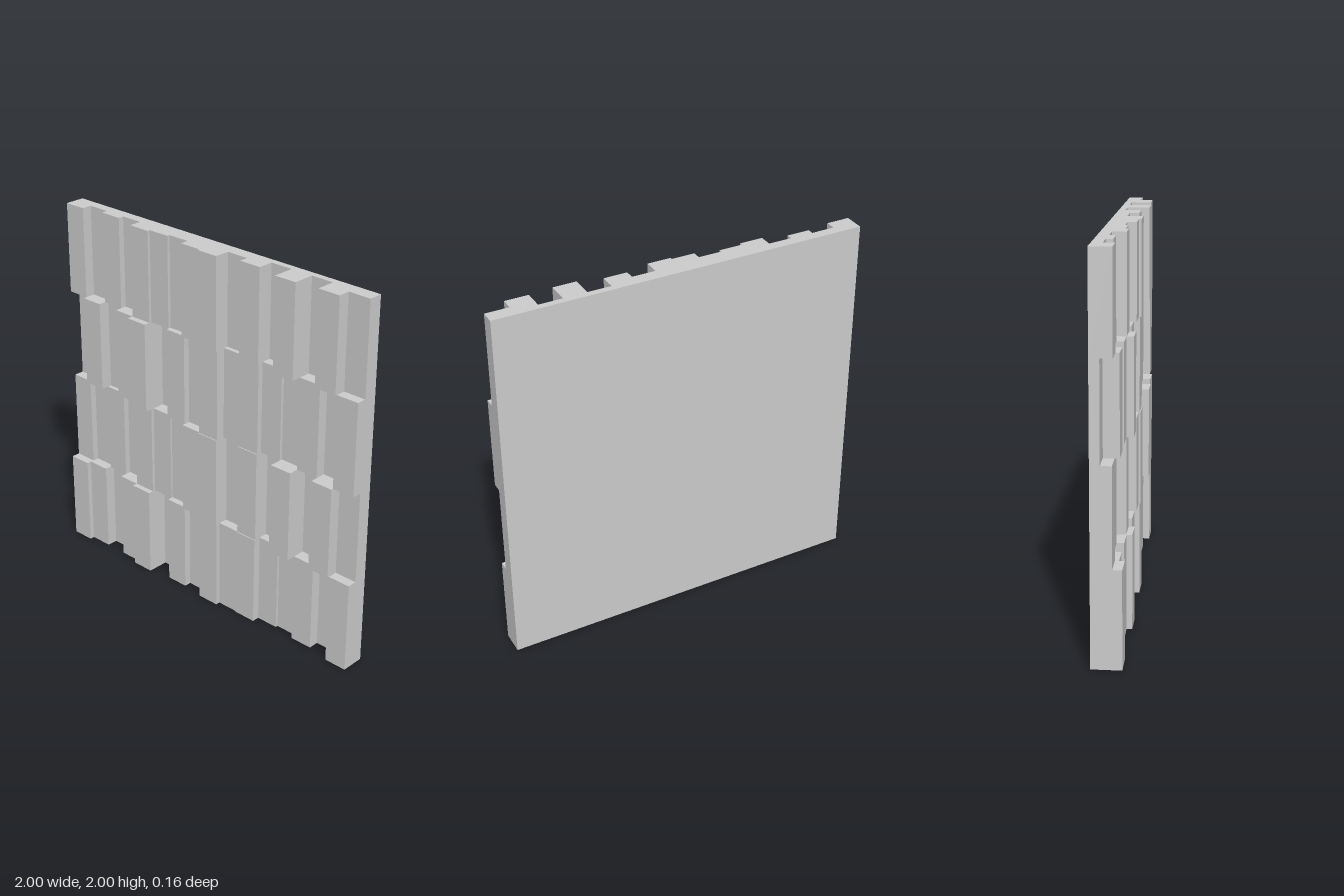
import * as THREE from 'three';

const BACK = -0.08;   // plane of the flat rear face
const COLS = 16;
const WIDTH = 2 / COLS;
const HEIGHT = 0.5;

// Front face z of every plank (in hundredths), left to right, top course first
const COURSES = [
  [3, -2.6, 0.8, -2.4, 4.6, 3, 1.4, 6, 7.3, -1, 4, -4.5, 7.3, -4.5, 6, -0.5],
  [-3, 4.9, -1.5, 4.5, 8, -4.5, 4.5, 1, 6.5, 1.4, 3.5, 0.6, -1, 2, -3.5, 4.8],
  [2.5, -1, 0.8, -2.4, 4.3, 2.5, 1.4, 6, 7, -1, 4, -4.5, 7.3, -4.5, 6, -0.5],
  [7.2, 4.5, -1.5, 4.5, 7.3, -4.5, 4.9, 1, 6.5, 4, 4.5, 0.4, -1, 2.2, -3.5, 4.8],
];

export function createModel() {
  const group = new THREE.Group();
  group.name = 'plankWallPanel';
  const material = new THREE.MeshStandardMaterial({ color: 0xcccccc, flatShading: true });

  // Each plank is a full-depth block standing on the common rear plane
  COURSES.forEach((fronts, row) => {
    const course = new THREE.Group();
    course.name = `plankCourse${row + 1}`;
    fronts.forEach((front, col) => {
      const depth = front / 100 - BACK;
      const plank = new THREE.Mesh(new THREE.BoxGeometry(WIDTH, HEIGHT, depth), material);
      plank.name = `plank${col + 1}`;
      plank.position.set(-1 + (col + 0.5) * WIDTH, 2 - (row + 0.5) * HEIGHT, BACK + depth / 2);
      course.add(plank);
    });
    group.add(course);
  });
  return group;
}
